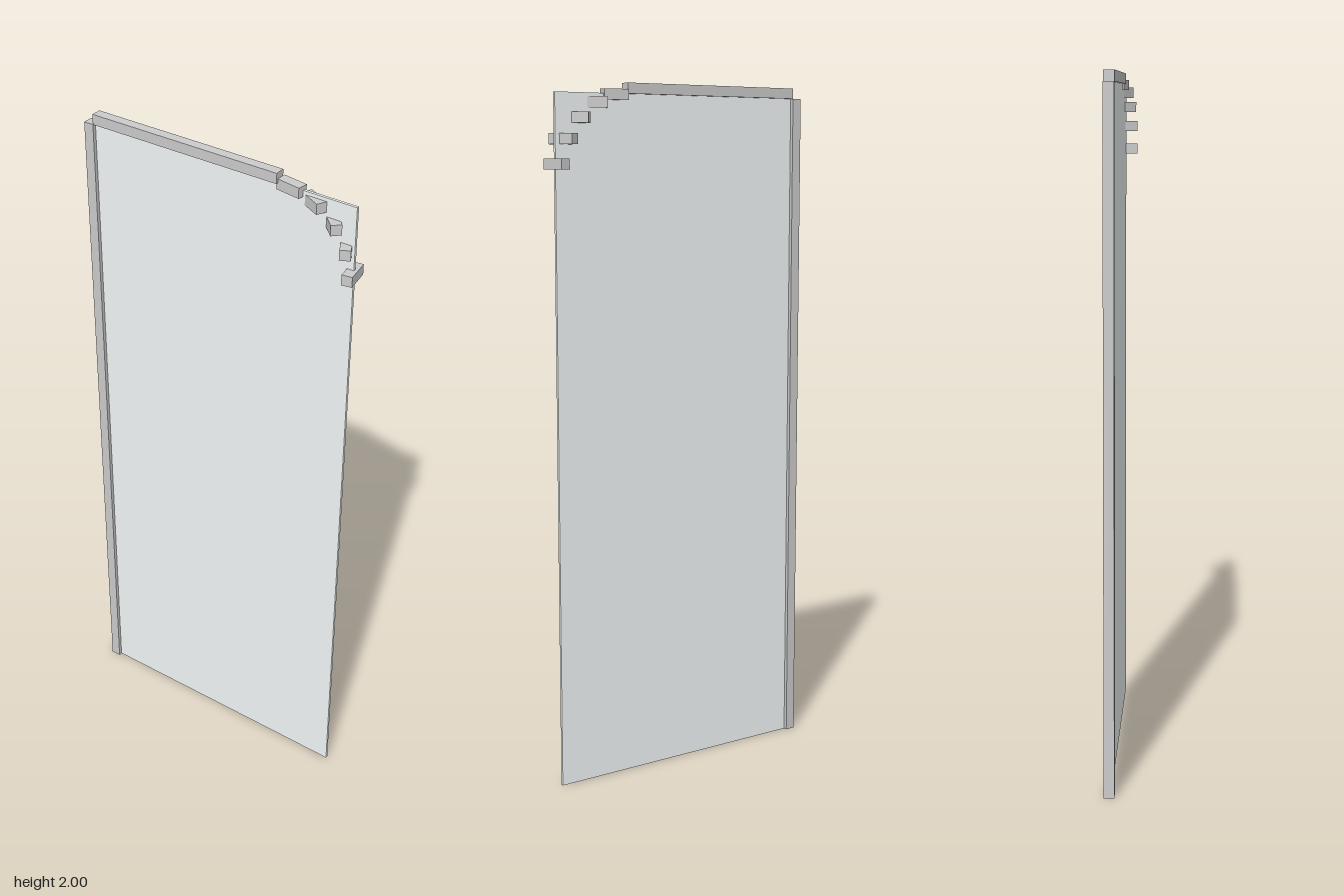
import * as THREE from 'three';

export function createModel() {
  const model = new THREE.Group();
  const frame = new THREE.MeshStandardMaterial({ color: 0xededf0 });
  const glass = new THREE.MeshStandardMaterial({ color: 0xf2f7f7 });

  const addBox = (name, material, size, position, yaw = 0) => {
    const mesh = new THREE.Mesh(new THREE.BoxGeometry(...size), material);
    mesh.name = name;
    mesh.position.set(...position);
    mesh.rotation.y = yaw;
    model.add(mesh);
  };

  const left = -0.407, right = 0.423; // panel edges
  const height = 1.97;
  const bar = 0.03; // frame section

  // Thin panel with a square post on one side
  addBox('panel', glass, [right - left, height, 0.008], [(left + right) / 2, height / 2, 0]);
  addBox('sidePost', frame, [bar, height, bar], [left - bar / 2, height / 2, 0]);

  // Top rail stops where the corner arc begins
  const arcX = 0.19, radius = 0.23, arcY = height - radius;
  addBox('topRail', frame, [arcX - left, bar, bar], [(left + arcX) / 2, height + bar / 2, 0]);

  // Corner arc: level blocks stepping down, each turned further about the vertical
  const count = 5;
  for (let i = 0; i < count; i++) {
    const angle = ((i + 0.5) / count) * Math.PI / 2;
    addBox(
      `cornerBlock${i + 1}`,
      frame,
      [0.075, bar, bar],
      [arcX + radius * Math.sin(angle), arcY + radius * Math.cos(angle), 0],
      -angle
    );
  }
  return model;
}
